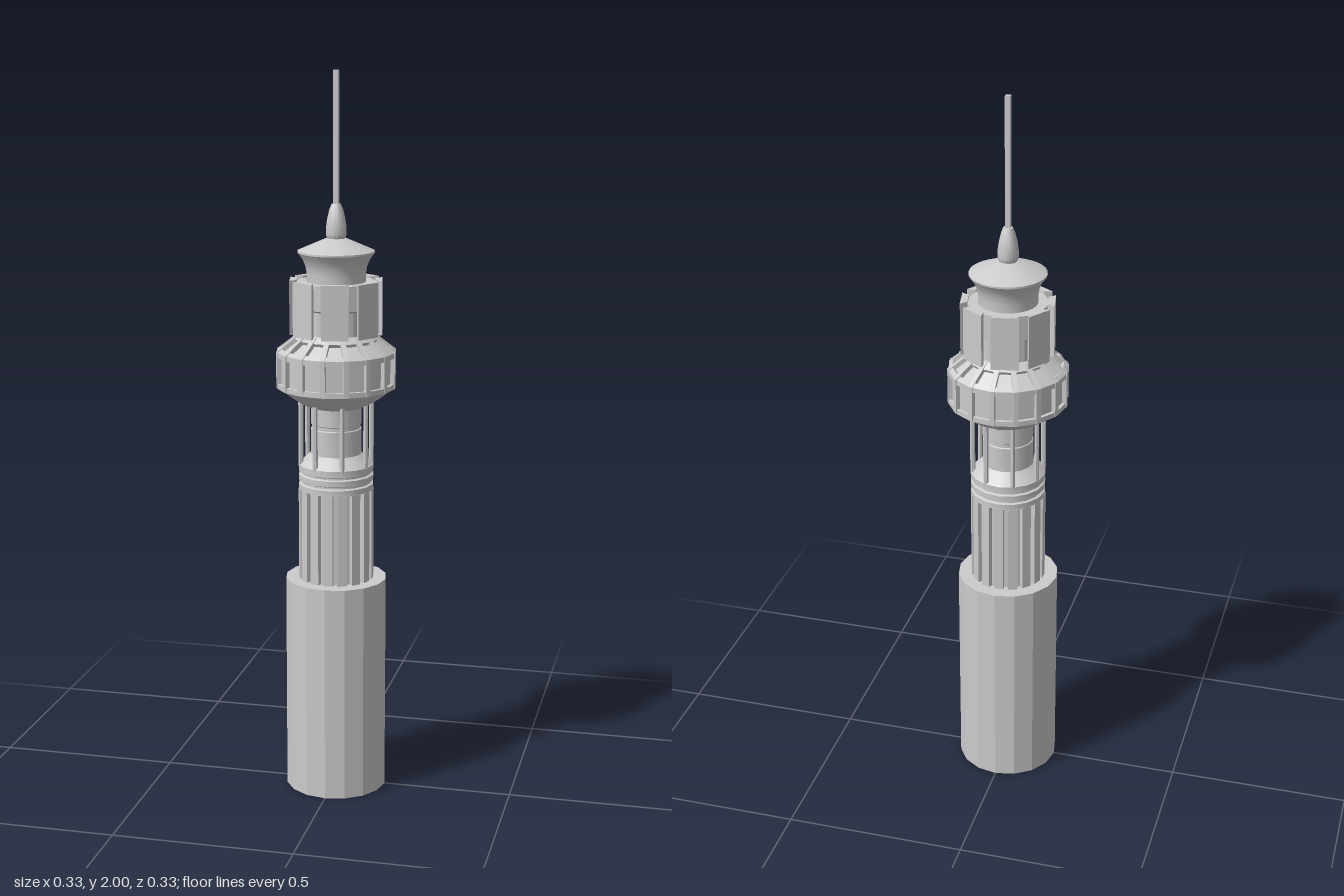
import * as THREE from 'three';
import { toCreasedNormals } from 'three/addons/utils/BufferGeometryUtils.js';

const SIDES = 16;

export function createModel() {
  const root = new THREE.Group();
  const flat = new THREE.MeshStandardMaterial({ color: 0xcccccc, flatShading: true });
  const smooth = new THREE.MeshStandardMaterial({ color: 0xcccccc });

  const add = (name, geometry, material = flat, parent = root) => {
    const mesh = new THREE.Mesh(geometry, material);
    mesh.name = name;
    parent.add(mesh);
    return mesh;
  };

  // Turned part from [radius, height] pairs, listed upwards on the outside
  const turn = (name, profile, { faceted = false, segments = SIDES } = {}) => {
    const lathe = new THREE.LatheGeometry(profile.map(([r, y]) => new THREE.Vector2(r, y)), segments);
    return add(name, faceted ? lathe : toCreasedNormals(lathe, 0.5), faceted ? flat : smooth);
  };

  // Copies of one geometry around the axis; the geometry is modelled at +z
  const around = (name, count, offset, geometry) => {
    const group = new THREE.Group();
    group.name = name + 's';
    for (let i = 0; i < count; i++) {
      add(name, geometry, flat, group).rotation.y = ((i + offset) / count) * Math.PI * 2;
    }
    root.add(group);
  };

  // Plain base drum
  turn('baseDrum', [[0, 0], [0.141, 0], [0.141, 0.61], [0, 0.61]], { faceted: true });

  // Fluted shaft: core with upright ribs
  turn('shaftCore', [[0.092, 0.6], [0.092, 0.875]], { faceted: true });
  around('shaftRib', SIDES, 0, new THREE.BoxGeometry(0.026, 0.255, 0.02).translate(0, 0.7375, 0.093));

  // Stacked collar rings with grooves
  turn('collar', [
    [0.09, 0.865], [0.104, 0.865], [0.104, 0.881], [0.097, 0.884], [0.097, 0.889],
    [0.104, 0.892], [0.104, 0.907], [0.097, 0.91], [0.097, 0.914], [0.104, 0.917],
    [0.104, 0.935], [0.098, 0.94], [0.074, 0.962], [0.07, 0.965],
  ]);

  // Open gallery: inner drum with two bands, and slim posts
  turn('galleryDrum', [
    [0.07, 0.955], [0.07, 1.035], [0.067, 1.037], [0.067, 1.047], [0.07, 1.049], [0.07, 1.12],
  ]);
  around('galleryPost', 8, 0.5,
    new THREE.CylinderGeometry(0.007, 0.007, 0.2, 6).translate(0, 1.03, 0.098));

  // Bowl under the wide ring
  turn('ringBowl', [
    [0.068, 1.095], [0.085, 1.101], [0.105, 1.111], [0.13, 1.128], [0.152, 1.147], [0.162, 1.155], [0.14, 1.155],
  ]);

  // Wide ring: recessed wall and roof, rims and ribs at the corners
  turn('ringWall', [[0.153, 1.15], [0.153, 1.246], [0.098, 1.288], [0.07, 1.288]], { faceted: true });
  turn('ringLowerRim', [[0.14, 1.15], [0.163, 1.15], [0.163, 1.164], [0.14, 1.164]], { faceted: true });
  turn('ringUpperRim', [[0.14, 1.236], [0.163, 1.236], [0.163, 1.25], [0.152, 1.259], [0.14, 1.25]], { faceted: true });
  turn('ringRoofCollar', [[0.112, 1.278], [0.117, 1.286], [0.1, 1.3], [0.07, 1.3]], { faceted: true });
  const ribProfile = new THREE.Shape([
    [0.145, 1.152], [0.164, 1.152], [0.164, 1.251], [0.1, 1.301], [0.09, 1.288], [0.145, 1.242],
  ].map(([r, y]) => new THREE.Vector2(r, y)));
  const ringRib = new THREE.ExtrudeGeometry(ribProfile, { depth: 0.014, bevelEnabled: false });
  ringRib.translate(0, 0, -0.007).rotateY(-Math.PI / 2);
  around('ringRib', SIDES, 0, ringRib);

  // Upper drum, narrower below, wider above
  turn('upperDrum', [
    [0.088, 1.285], [0.088, 1.365], [0.108, 1.372], [0.108, 1.44], [0.078, 1.44],
  ], { faceted: true });

  // Eight shield panels with bevelled sides, set off-centre around the drum
  const panelSection = new THREE.Shape([
    [-0.037, -0.125], [0.037, -0.125], [0.024, -0.106], [-0.024, -0.106],
  ].map(([x, y]) => new THREE.Vector2(x, y)));
  const panel = new THREE.ExtrudeGeometry(panelSection, { depth: 0.148, bevelEnabled: false });
  panel.rotateX(-Math.PI / 2).translate(0, 1.298, 0);
  around('shieldPanel', 8, 0.25, panel);

  // Flared cap with a shallow cone roof
  turn('cap', [
    [0.08, 1.43], [0.08, 1.462], [0.083, 1.48], [0.091, 1.5], [0.104, 1.518], [0.104, 1.523], [0.028, 1.556], [0, 1.558],
  ], { segments: 32 });

  // Finial and mast
  turn('finial', [
    [0.022, 1.55], [0.028, 1.565], [0.028, 1.585], [0.025, 1.607], [0.019, 1.633], [0.013, 1.648], [0, 1.65],
  ]);
  add('mast', new THREE.BoxGeometry(0.014, 0.36, 0.014).translate(0, 1.82, 0));

  return root;
}
